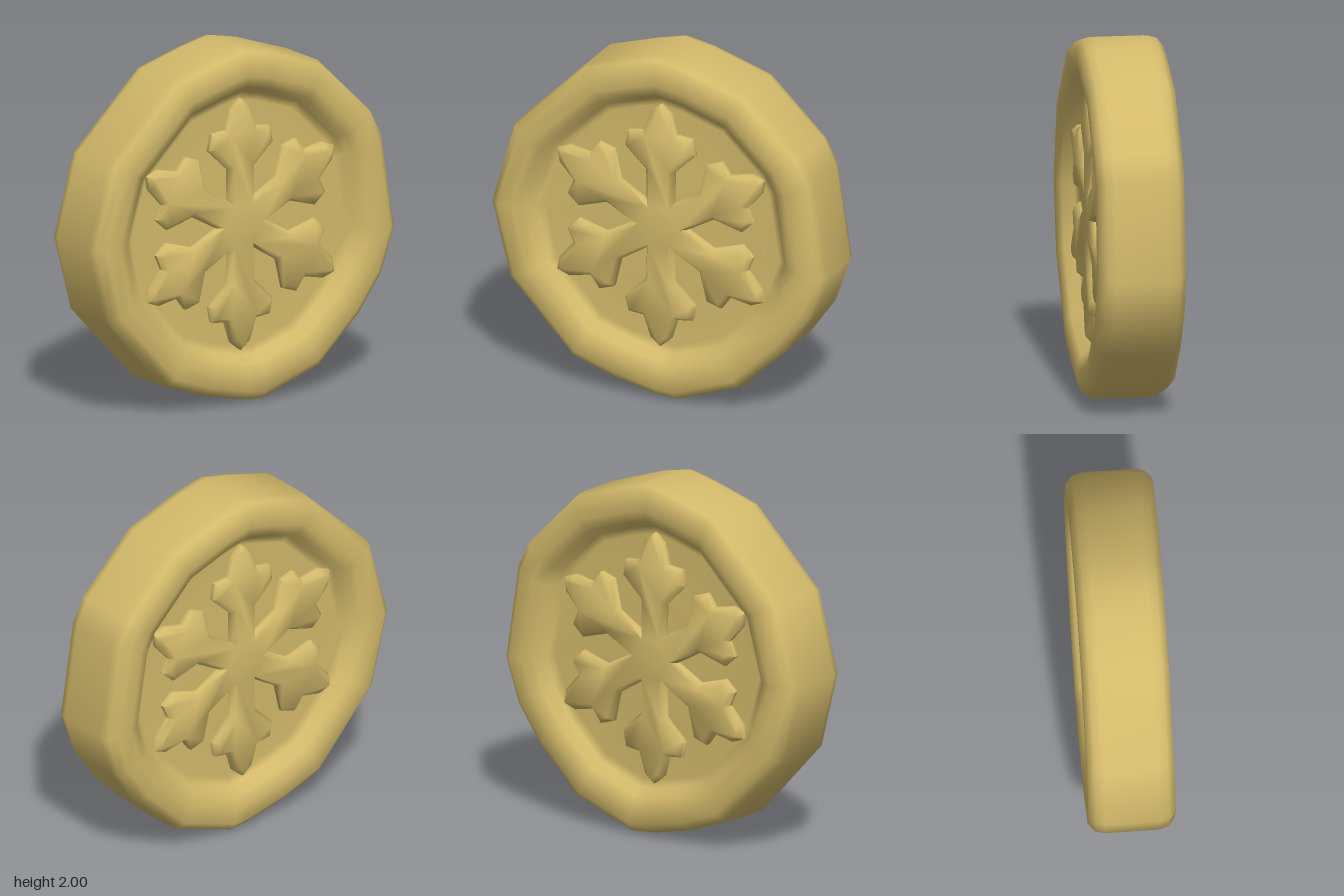
import * as THREE from 'three';
import { toCreasedNormals } from 'three/addons/utils/BufferGeometryUtils.js';

// Hand-cut outline of the coin, counterclockwise
const OUTLINE = [
  [0.996, -0.15], [0.91, 0.39], [0.84, 0.53], [0.51, 0.85], [0.17, 0.965], [0, 1],
  [-0.17, 0.96], [-0.44, 0.88], [-0.87, 0.46], [-1, 0], [-0.89, -0.43], [-0.51, -0.84],
  [-0.26, -0.93], [0, -0.99], [0.12, -1], [0.49, -0.87], [0.76, -0.61], [0.91, -0.4],
];

// Cross-section from the middle of one face to its edge: [scale, height]
const PROFILE = [
  [0, 0.14], [0.4, 0.14], [0.7, 0.13], [0.745, 0.15], [0.785, 0.215],
  [0.85, 0.24], [0.94, 0.238], [0.985, 0.2], [1, 0.15],
];

// Disc with a rounded raised rim and a sunken floor on both faces
function coinGeometry() {
  const rings = [...PROFILE, [1, 0], ...PROFILE.slice().reverse().map(([s, h]) => [s, -h])];
  const n = OUTLINE.length;
  const positions = [];
  const index = [];
  for (const [s, h] of rings) {
    for (const [x, y] of OUTLINE) positions.push(x * s, y * s, h);
  }
  for (let r = 0; r < rings.length - 1; r++) {
    for (let i = 0; i < n; i++) {
      const j = (i + 1) % n;
      const a = r * n + i, b = r * n + j, c = a + n, d = b + n;
      if (r > 0) index.push(a, d, b);
      if (r < rings.length - 2) index.push(a, c, d);
    }
  }
  const geometry = new THREE.BufferGeometry();
  geometry.setAttribute('position', new THREE.Float32BufferAttribute(positions, 3));
  geometry.setIndex(index);
  geometry.computeVertexNormals();
  return geometry;
}

// Six-armed relief with short side branches
function snowflakeGeometry() {
  const half = [[0.14, 0.08], [0.32, 0.085], [0.44, 0.21], [0.53, 0.19], [0.54, 0.1], [0.66, 0.06]];
  const arm = [
    ...half.map(([a, w]) => [a, -w]),
    [0.71, 0],
    ...half.slice(1).reverse(),
  ];
  const points = [];
  for (let k = 0; k < 6; k++) {
    const t = Math.PI / 6 + (k * Math.PI) / 3;
    for (const [a, w] of arm) {
      points.push(new THREE.Vector2(
        a * Math.cos(t) - w * Math.sin(t),
        a * Math.sin(t) + w * Math.cos(t),
      ));
    }
  }
  const geometry = new THREE.ExtrudeGeometry(new THREE.Shape(points), {
    depth: 0.04, bevelEnabled: true, bevelThickness: 0.03,
    bevelSize: 0.025, bevelOffset: -0.025, bevelSegments: 1,
  });
  geometry.translate(0, 0, 0.12);
  return toCreasedNormals(geometry, Math.PI / 3);
}

export function createModel() {
  const gold = new THREE.MeshStandardMaterial({ color: 0xd2b96a });
  gold.name = 'gold';

  const group = new THREE.Group();
  group.name = 'coin';

  const disc = new THREE.Mesh(coinGeometry(), gold);
  disc.name = 'rimmedDisc';
  group.add(disc);

  // The same relief on both faces
  const relief = snowflakeGeometry();
  ['frontSnowflake', 'backSnowflake'].forEach((name, i) => {
    const mesh = new THREE.Mesh(relief, gold);
    mesh.name = name;
    mesh.rotation.y = i * Math.PI;
    group.add(mesh);
  });

  // Standing on edge, turned mostly toward +x
  group.rotation.y = 1.25;
  group.position.y = 1;

  const model = new THREE.Group();
  model.name = 'snowflakeCoin';
  model.add(group);
  return model;
}
